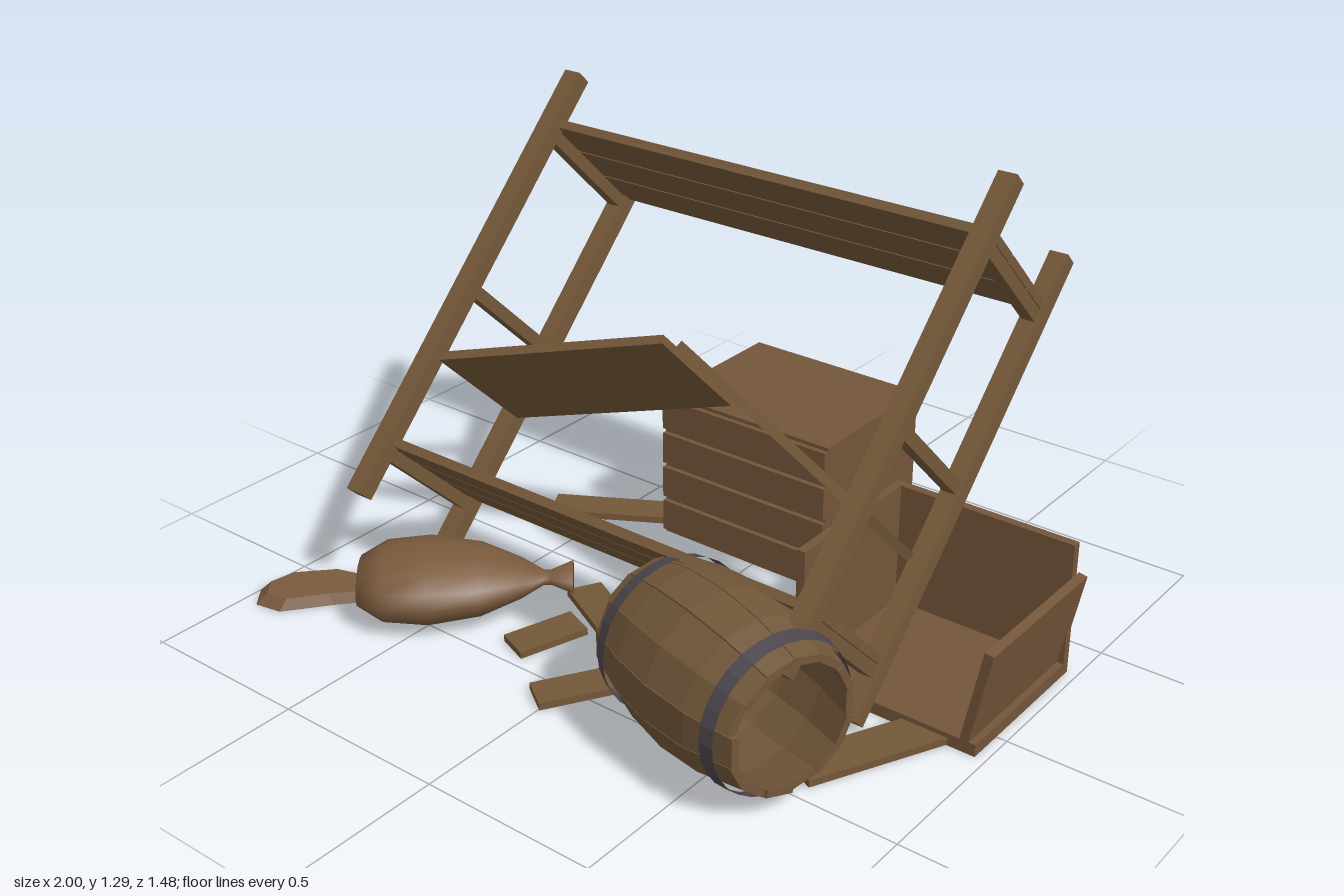
import * as THREE from 'three';

const mat = (name, color, opts = {}) => {
  const m = new THREE.MeshStandardMaterial({ color, ...opts });
  m.name = name;
  return m;
};

export function createModel() {
  const wood = mat('shelf wood', 0x745839);
  const crateWood = mat('crate wood', 0x73553a);
  const barrelWood = mat('barrel wood', 0x72573a, { flatShading: true });
  const iron = mat('dark iron', 0x4c464c, { flatShading: true, side: THREE.DoubleSide });
  const cloth = mat('sackcloth', 0x7a5a3d);

  const model = new THREE.Group();
  model.name = 'wreckedStorage';

  const add = (parent, name, geo, material, x = 0, y = 0, z = 0) => {
    const mesh = new THREE.Mesh(geo, material);
    mesh.name = name;
    mesh.position.set(x, y, z);
    parent.add(mesh);
    return mesh;
  };
  const box = (parent, name, material, w, h, d, x, y, z) =>
    add(parent, name, new THREE.BoxGeometry(w, h, d), material, x, y, z);
  const group = (name, x, y, z) => {
    const g = new THREE.Group();
    g.name = name;
    g.position.set(x, y, z);
    model.add(g);
    return g;
  };

  // Shelf rack, tipped backwards
  const rack = group('rack', -0.035, 0.175, 0.35);
  rack.rotation.x = -0.777;
  for (const s of [-1, 1]) {
    for (const z of [-0.217, 0.217]) box(rack, 'post', wood, 0.054, 1.33, 0.05, s * 0.7, 0.665, z);
    for (const y of [0.135, 0.645, 1.145]) box(rack, 'crossbar', wood, 0.04, 0.036, 0.39, s * 0.7, y, 0);
    // Snapped middle shelf, each half slumping at its outer end
    const half = box(rack, 'brokenShelf', wood, 0.695, 0.025, 0.42, s * 0.352, 0.555, 0);
    half.rotation.z = -s * 0.352;
  }
  for (const y of [0.168, 1.178])
    for (let i = -1; i <= 1; i++) box(rack, 'shelfPlank', wood, 1.44, 0.025, 0.138, 0, y, i * 0.146);

  // Closed crate with a slatted front
  const crate = group('closedCrate', -0.035, 0, -0.525);
  box(crate, 'crateBody', crateWood, 0.56, 0.45, 0.45, 0, 0.225, 0);
  for (let i = 0; i < 4; i++) box(crate, 'crateSlat', crateWood, 0.56, 0.095, 0.015, 0, 0.062 + i * 0.11, 0.2325);

  // Open crate with a loose side panel
  const open = group('openCrate', 0.7, 0, -0.13);
  box(open, 'crateFloor', crateWood, 0.54, 0.035, 0.47, 0, 0.0175, 0);
  box(open, 'crateBack', crateWood, 0.54, 0.355, 0.025, 0, 0.212, -0.2225);
  box(open, 'crateSide', crateWood, 0.025, 0.355, 0.445, -0.2575, 0.212, 0.0125);
  const panel = box(open, 'loosePanel', crateWood, 0.025, 0.28, 0.47, 0.263, 0.165, 0.002);
  panel.rotation.z = -0.19;

  // Barrel on its side: bent staves, hoops and one closed end
  const barrel = group('barrel', 0.47, 0.232, 0.465);
  barrel.rotation.y = -0.29;
  const staves = 14, length = 0.55, radius = 0.225;
  const bulge = x => radius - 0.045 * (2 * x / length) ** 2;
  for (let i = 0; i < staves; i++) {
    const width = 2 * radius * Math.tan(Math.PI / staves) - 0.003;
    const geo = new THREE.BoxGeometry(length + 0.012 * Math.sin(i * 2.4), 0.02, width, 4, 1, 1);
    const p = geo.attributes.position;
    for (let v = 0; v < p.count; v++) {
      const r = bulge(p.getX(v));
      p.setY(v, p.getY(v) + r - 0.01);
      p.setZ(v, p.getZ(v) * r / radius);
    }
    geo.computeVertexNormals();
    const stave = add(barrel, 'stave', geo, barrelWood);
    stave.rotation.x = (i + 0.5) * 2 * Math.PI / staves;
  }
  for (const s of [-1, 1]) {
    const outer = bulge(0.2) + 0.011, inner = bulge(0.235) + 0.011;
    const hoop = add(barrel, 'hoop', new THREE.CylinderGeometry(inner, outer, 0.04, 28, 1, true), iron, s * 0.218);
    hoop.rotation.z = -s * Math.PI / 2;
  }
  for (const s of [-1, 1]) {
    const lid = add(barrel, 'barrelEnd', new THREE.CylinderGeometry(0.178, 0.178, 0.015, 14, 1, false, 0, Math.PI), barrelWood, -0.245, 0, s * 0.001);
    lid.rotation.set(s > 0 ? 0 : Math.PI, 0, Math.PI / 2, 'YXZ');
  }

  // Tied sack lying on the floor
  const sack = group('sack', -0.53, 0.1, 0.43);
  sack.rotation.y = 0.7;
  sack.scale.y = 0.57;
  const profile = [[0, -0.22], [0.1, -0.21], [0.16, -0.14], [0.175, -0.02], [0.145, 0.12], [0.08, 0.23],
    [0.03, 0.29], [0.03, 0.31], [0.065, 0.37], [0, 0.355]].map(([r, y]) => new THREE.Vector2(r, y));
  const body = add(sack, 'sackBody', new THREE.LatheGeometry(profile, 14), cloth);
  body.rotation.z = -Math.PI / 2;

  // Low spilled heap beside the sack
  const outline = [[-1, 0.66], [-0.95, 0.72], [-0.87, 0.705], [-0.78, 0.59], [-0.7, 0.5], [-0.78, 0.43], [-0.88, 0.46], [-0.985, 0.57]];
  const heap = new THREE.ExtrudeGeometry(new THREE.Shape(outline.map(([x, z]) => new THREE.Vector2(x, -z))),
    { depth: 0.03, bevelEnabled: false });
  const hp = heap.attributes.position;
  for (let v = 0; v < hp.count; v++) {
    if (hp.getZ(v) < 0.01) continue;
    hp.setX(v, -0.86 + (hp.getX(v) + 0.86) * 0.8);
    hp.setY(v, -0.58 + (hp.getY(v) + 0.58) * 0.8);
  }
  heap.computeVertexNormals();
  add(model, 'spilledHeap', heap, cloth).rotation.x = -Math.PI / 2;

  // Loose planks on the floor: x, z, length, width, heading, tilt
  const planks = [
    [-0.47, -0.31, 0.45, 0.1, 0.52, 0],
    [0.07, 0.43, 0.38, 0.1, 0.98, 0.03],
    [0.76, 0.24, 0.42, 0.12, 1.12, 0],
    [0.55, -0.14, 0.38, 0.12, -0.3, 0],
    [-0.12, 0.2, 0.36, 0.1, -0.5, 0.05],
    [0.36, 0.27, 0.3, 0.09, -0.25, 0.06],
    [-0.2, 0.36, 0.2, 0.1, 1.2, 0.05],
    [0.2, 0.12, 0.3, 0.09, 0.3, 0],
  ];
  for (const [x, z, len, wid, heading, tilt] of planks) {
    const plank = box(model, 'loosePlank', wood, len, 0.02, wid, x, 0.012 + Math.sin(tilt) * len / 2, z);
    plank.rotation.set(0, heading, tilt, 'YXZ');
  }

  return model;
}
